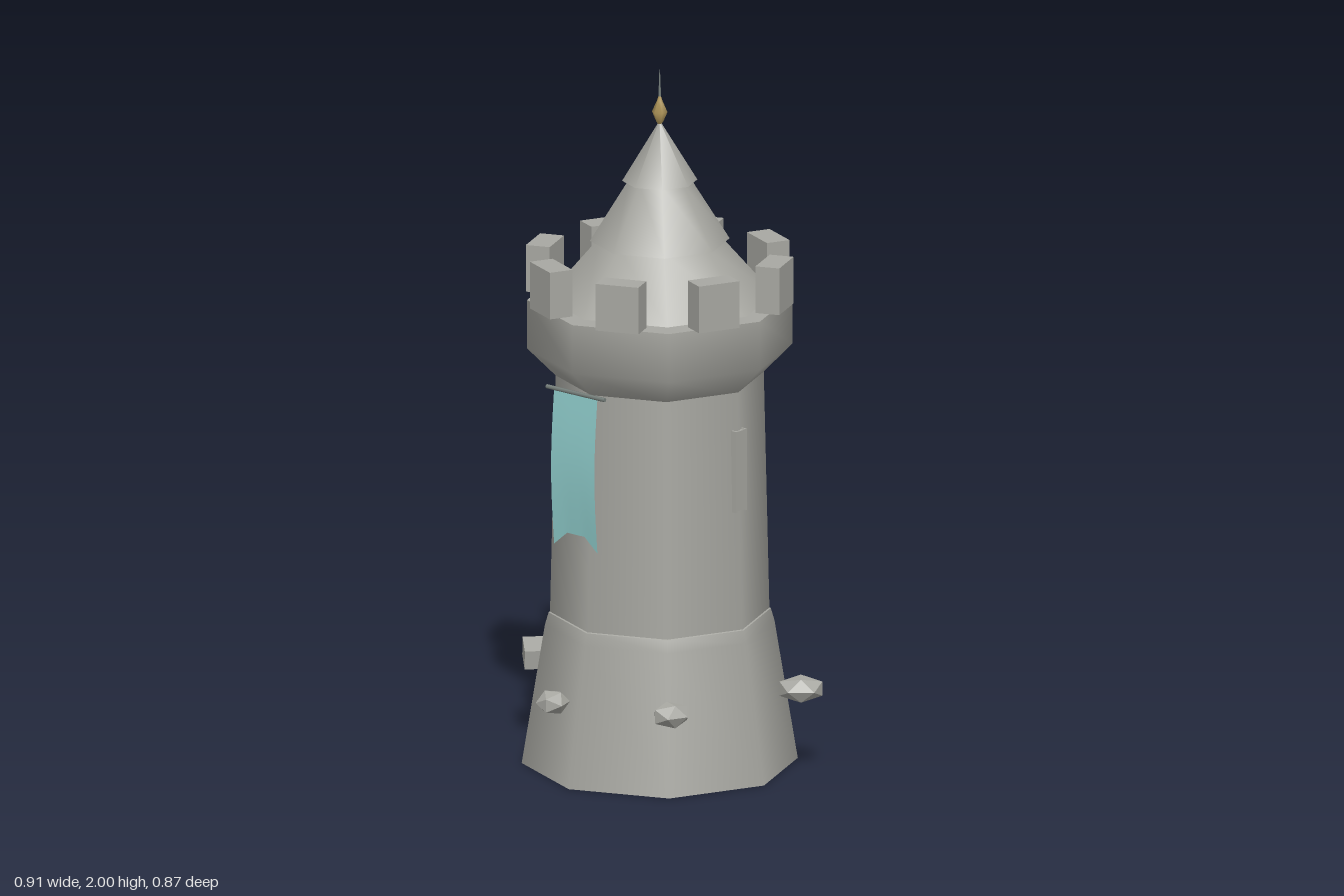
import * as THREE from 'three';

export function createModel() {
  const model = new THREE.Group();
  model.name = 'castleTower';

  const mat = (name, color, extra = {}) => {
    const m = new THREE.MeshStandardMaterial({ color, ...extra });
    m.name = name;
    return m;
  };
  const stone = mat('stone', 0xa8a8a2, { side: THREE.DoubleSide });
  const cloth = mat('bannerCloth', 0x8fcccb, { side: THREE.DoubleSide });
  const gold = mat('gold', 0xb0965a);
  const iron = mat('iron', 0x77807c);

  const add = (parent, name, geometry, material, x = 0, y = 0, z = 0) => {
    const mesh = new THREE.Mesh(geometry, material);
    mesh.name = name;
    mesh.position.set(x, y, z);
    parent.add(mesh);
    return mesh;
  };
  const lathe = (points, sides = 8) =>
    new THREE.LatheGeometry(points.map(([r, y]) => new THREE.Vector2(r, y)), sides);

  // Tower, eight-sided with smooth shading
  const tower = new THREE.Group();
  tower.name = 'tower';
  tower.position.set(0.01, 0, -0.02);
  model.add(tower);

  add(tower, 'base', lathe([[0.385, 0], [0.32, 0.4], [0.31, 0.435]]), stone);
  add(tower, 'baseLedge', lathe([[0.31, 0.435], [0.3, 0.44]]), stone);
  add(tower, 'shaft', lathe([[0.306, 0.435], [0.29, 1.13]]), stone);
  add(tower, 'collar', lathe([[0.285, 1.115], [0.37, 1.2], [0.37, 1.34]]), stone);
  add(tower, 'collarTop', lathe([[0.37, 1.34], [0.2, 1.34]]), stone);

  // Battlements, one over each side of the collar
  for (let i = 0; i < 8; i++) {
    const a = (i + 0.5) * Math.PI / 4;
    const merlon = add(tower, 'merlon', new THREE.BoxGeometry(0.125, 0.135, 0.07), stone,
      Math.sin(a) * 0.337, 1.4075, Math.cos(a) * 0.337);
    merlon.rotation.y = a;
  }

  // Roof in three overlapping tiers
  const tiers = [
    [0.32, 1.345, 0.17, 1.515],
    [0.195, 1.508, 0.085, 1.685],
    [0.105, 1.68, 0.002, 1.85],
  ];
  for (const [r0, y0, r1, y1] of tiers) {
    add(tower, 'roofTier', lathe([[r0, y0], [r1, y1]]), stone);
    add(tower, 'roofEave', lathe([[r0 * 0.7, y0], [r0, y0]]), stone);
  }

  // Finial and spike
  add(tower, 'finial', lathe([[0, 1.835], [0.01, 1.85], [0.022, 1.878], [0.008, 1.91], [0, 1.935]], 6), gold);
  add(tower, 'spike', new THREE.CylinderGeometry(0.001, 0.004, 0.08, 6), iron, 0, 1.96, 0);

  // Arrow slits on both flanks
  for (const side of [-1, 1]) {
    const slit = new THREE.Group();
    slit.name = 'arrowSlit';
    slit.position.set(side * 0.291, 0.895, 0);
    tower.add(slit);
    add(slit, 'slitPanel', new THREE.BoxGeometry(0.014, 0.23, 0.034), stone);
    for (const z of [-0.02, 0.02])
      add(slit, 'slitJamb', new THREE.BoxGeometry(0.022, 0.235, 0.007), stone, 0, 0, z);
  }

  // Banner: a bowed sheet with a notched lower edge
  const sheet = new THREE.PlaneGeometry(0.16, 1, 10, 12);
  const p = sheet.attributes.position;
  for (let i = 0; i < p.count; i++) {
    const x = p.getX(i);
    const t = 0.5 - p.getY(i);
    const notch = Math.min(1, (0.08 - Math.abs(x)) / 0.048);
    const bottom = 0.69 + 0.04 * notch;
    p.setXYZ(i, x, 1.14 + (bottom - 1.14) * t, 0.335 + 0.013 * Math.sin(Math.PI * t));
  }
  sheet.computeVertexNormals();
  add(model, 'banner', sheet, cloth, 0.01, 0, 0);
  const rod = add(model, 'bannerRod', new THREE.CylinderGeometry(0.006, 0.006, 0.215, 6), iron, 0.01, 1.14, 0.335);
  rod.rotation.z = Math.PI / 2;

  // Loose faceted stones round the base: position, radii, turn
  const rocks = [
    [-0.033, 0.248, 0.383, 0.047, 0.036, 0.054, 0.3],
    [0.3, 0.248, 0.264, 0.05, 0.038, 0.058, -0.4],
    [0.398, 0.248, -0.173, 0.052, 0.039, 0.07, 2.3],
    [-0.12, 0.247, -0.402, 0.037, 0.025, 0.037, 0.8],
  ];
  for (const [x, y, z, sx, sy, sz, turn] of rocks) {
    // Non-indexed icosahedron keeps the facets flat
    const geo = new THREE.IcosahedronGeometry(1, 0).scale(sx, sy, sz);
    geo.computeVertexNormals();
    add(model, 'looseStone', geo, stone, x, y, z).rotation.y = turn;
  }
  const block = add(model, 'looseBlock', new THREE.BoxGeometry(0.1, 0.055, 0.072), stone, -0.392, 0.249, 0.041);
  block.rotation.set(0, -Math.PI / 4, -0.15);

  return model;
}
